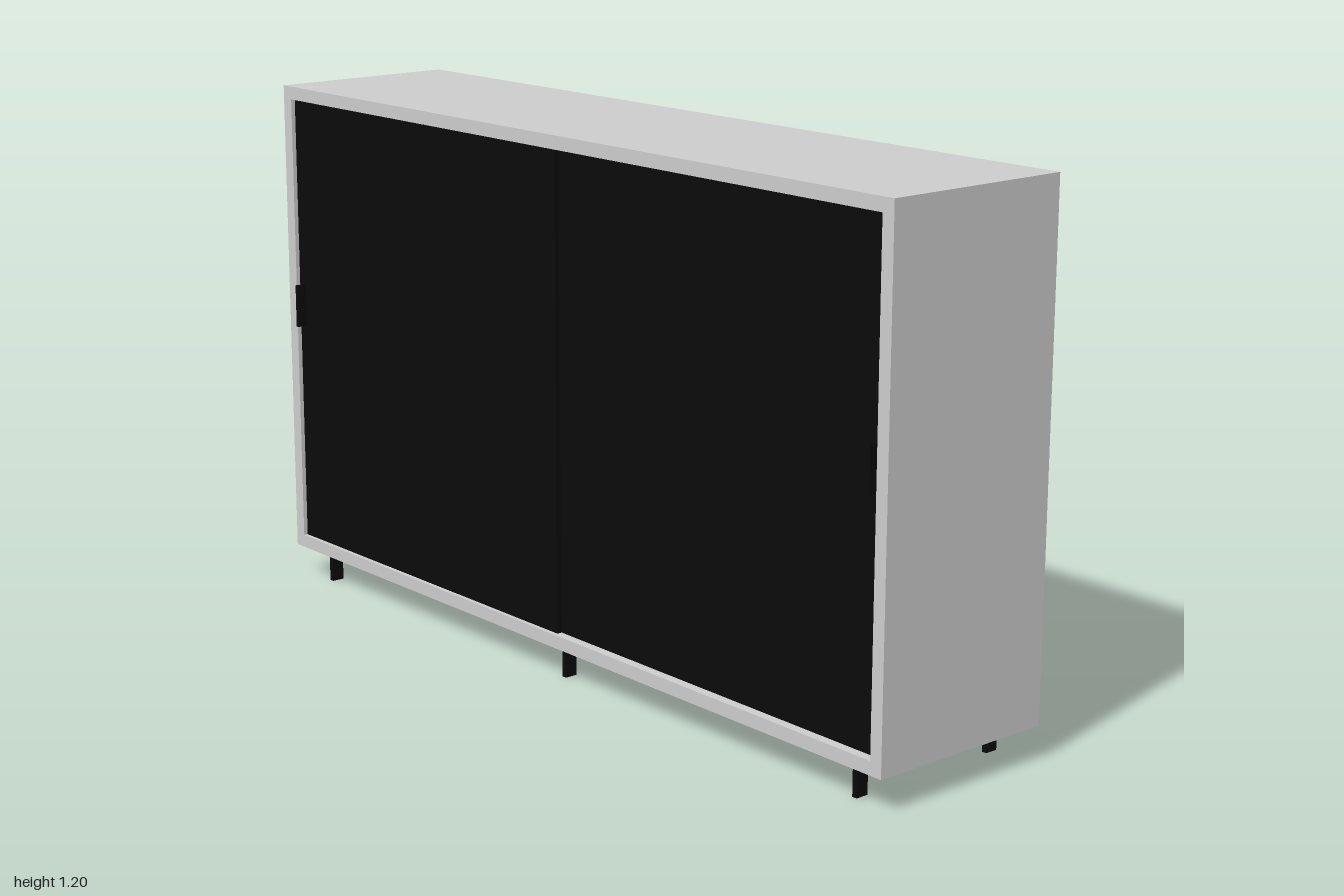
import * as THREE from 'three';

export function createModel() {
  const model = new THREE.Group();
  model.name = 'sideboard';
  const grey = new THREE.MeshStandardMaterial({ color: 0xcccccc });
  const black = new THREE.MeshStandardMaterial({ color: 0x0a0a0a });

  // Box given by its lower and upper limits on each axis
  const box = (name, material, [x0, x1], [y0, y1], [z0, z1]) => {
    const mesh = new THREE.Mesh(new THREE.BoxGeometry(x1 - x0, y1 - y0, z1 - z0), material);
    mesh.position.set((x0 + x1) / 2, (y0 + y1) / 2, (z0 + z1) / 2);
    mesh.name = name;
    model.add(mesh);
  };

  const bottom = 0.075, top = 1.2, t = 0.03, inner = 1 - t;
  const depth = [-0.23, 0.22];

  // Carcass
  box('topPanel', grey, [-1, 1], [top - t, top], depth);
  box('bottomPanel', grey, [-1, 1], [bottom, bottom + t], depth);
  box('rightSide', grey, [-1, -inner], [bottom + t, top - t], depth);
  box('leftSide', grey, [inner, 1], [bottom + t, top - t], depth);
  // Back panel, with a fine groove along each side
  box('backPanel', grey, [-inner + 0.004, inner - 0.004], [bottom + t, top - t], [-0.229, -0.215]);
  for (const s of [-1, 1]) {
    const x = s * (inner - 0.002);
    box('backGroove', grey, [x - 0.002, x + 0.002], [bottom + t, top - t], [-0.223, -0.215]);
  }

  // Two sliding doors on separate tracks, each with a slim pull at its outer edge
  const doors = [
    { side: 'right', x: [-inner, 0.002], front: 0.21, pull: -0.95 },
    { side: 'left', x: [-0.01, inner], front: 0.198, pull: 0.95 },
  ];
  for (const { side, x, front, pull } of doors) {
    box(side + 'Door', black, x, [bottom + t, top - t], [front - 0.011, front]);
    box(side + 'Handle', black, [pull - 0.004, pull + 0.004], [0.63, 0.73], [front, front + 0.024]);
  }

  // Flat legs in three pairs
  for (const x of [-0.9, 0, 0.9]) {
    for (const z of [0.175, -0.195]) {
      box('leg', black, [x - 0.006, x + 0.006], [0, bottom], [z - 0.015, z + 0.015]);
    }
  }
  return model;
}
